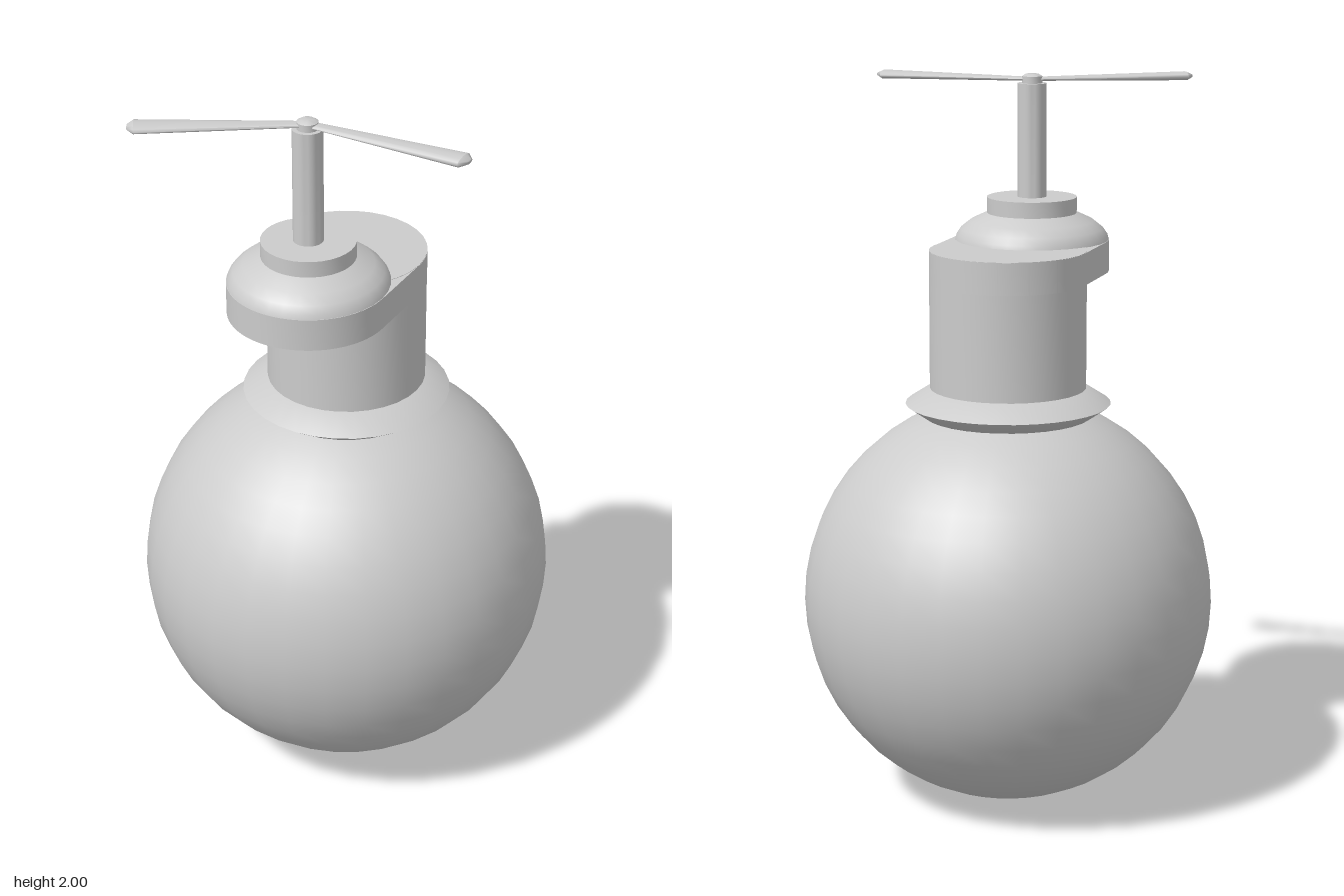
import * as THREE from 'three';
import { toCreasedNormals } from 'three/addons/utils/BufferGeometryUtils.js';

const material = new THREE.MeshStandardMaterial({ color: 0xcccccc });
const R = 0.215;      // neck and head radius
const HEAD_Z = 0.205; // forward offset of the head

export function createModel() {
  const model = new THREE.Group();

  function add(name, geometry, y = 0, z = 0, parent = model) {
    const mesh = new THREE.Mesh(geometry, material);
    mesh.name = name;
    mesh.position.set(0, y, z);
    parent.add(mesh);
    return mesh;
  }

  // Turned part from [radius, height] pairs, listed bottom to top
  function turned(profile, segments = 32) {
    const points = profile.map(([r, y]) => new THREE.Vector2(r, y));
    return toCreasedNormals(new THREE.LatheGeometry(points, segments), 0.7);
  }

  // Round body
  add('body', new THREE.SphereGeometry(0.567, 32, 24), 0.569);

  // Flared collar and neck
  add('collar', turned([[0, 1.085], [0.228, 1.085], [0.282, 1.122], [R, 1.165], [0, 1.165]]));
  add('neck', turned([[0, 1.1], [R, 1.1], [R, 1.545], [0, 1.545]]));

  // Overhanging plate with round ends, joining the neck to the head
  const outline = new THREE.Shape();
  outline.absarc(0, 0, R, 0, Math.PI, false);
  outline.absarc(0, -HEAD_Z, R, Math.PI, Math.PI * 2, false);
  outline.closePath();
  const plate = new THREE.ExtrudeGeometry(outline, { depth: 0.088, bevelEnabled: false, curveSegments: 20 });
  plate.rotateX(-Math.PI / 2);
  add('overhang', toCreasedNormals(plate, 0.7), 1.456);

  // Domed head with a raised boss
  add('head', turned([
    [R, 1.54], [0.211, 1.556], [0.198, 1.575], [0.172, 1.596], [0.125, 1.618],
    [0.125, 1.662], [0, 1.662],
  ]), 0, HEAD_Z);

  // Spindle and hub
  add('spindle', turned([[0.04, 1.65], [0.04, 1.975], [0, 1.975]], 24), 0, HEAD_Z);
  add('hub', turned([[0.028, 1.97], [0.028, 1.994], [0.018, 2], [0, 2]], 16), 0, HEAD_Z);

  // Two flattened, tapering blades
  const blade = turned([[0, 0], [0.016, 0], [0.036, 0.435], [0.014, 0.452], [0, 0.452]], 12);
  blade.rotateZ(-Math.PI / 2);
  blade.scale(1, 0.34, 1);
  [0, Math.PI + 0.53].forEach((angle, i) => {
    const mesh = add(i ? 'rightBlade' : 'leftBlade', blade, 1.986, HEAD_Z);
    mesh.rotation.y = angle;
  });

  return model;
}
